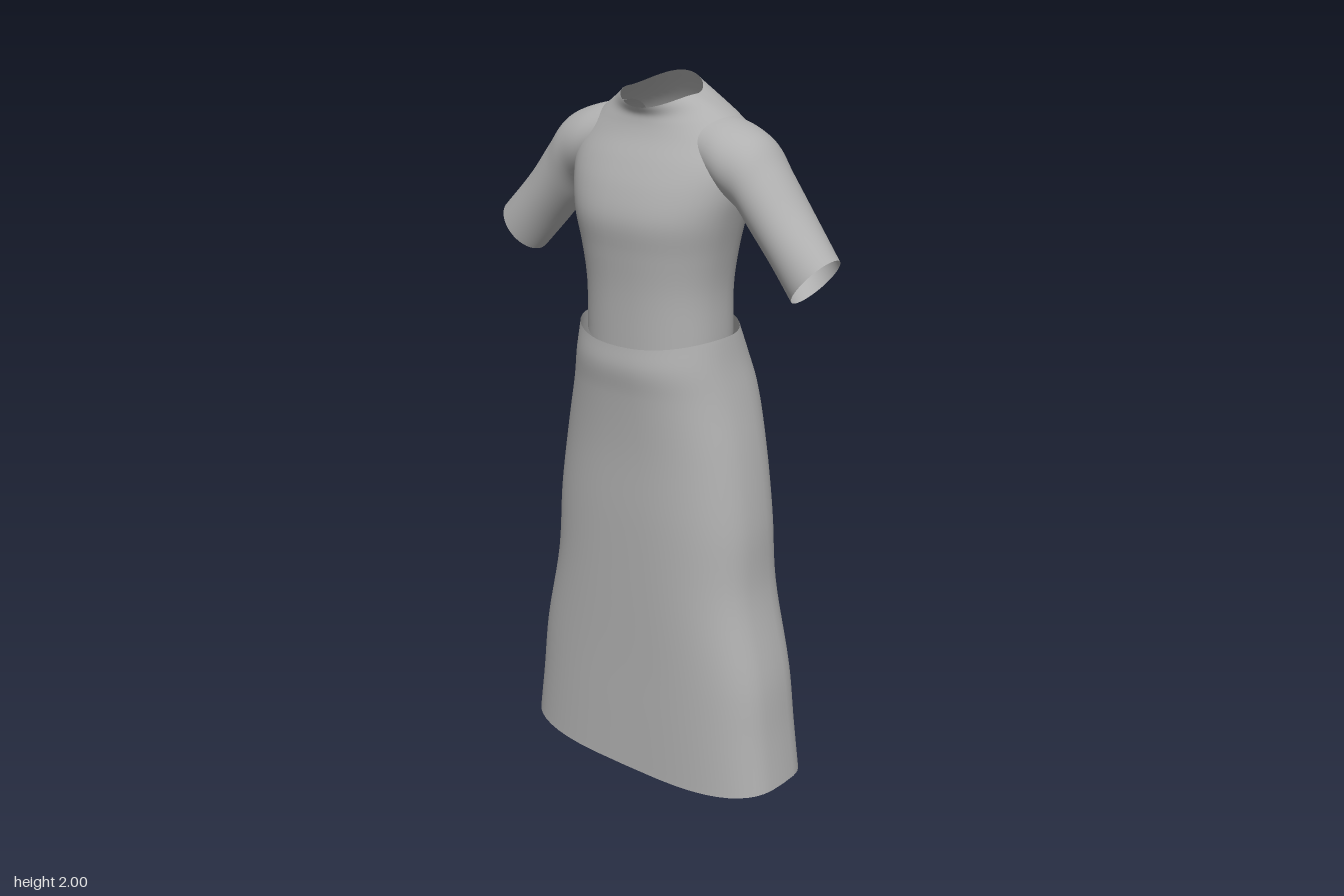
import * as THREE from 'three';

const SIDES = 48;
const cloth = new THREE.MeshStandardMaterial({ color: 0xb0b0b0, side: THREE.DoubleSide });
cloth.name = 'grey cloth';

const power = (v, e) => Math.sign(v) * Math.abs(v) ** e;

// Open tube through rings; each column of points follows a smooth curve
function loft(name, sections, ringPoint, steps) {
  const positions = [], index = [];
  for (let i = 0; i < SIDES; i++) {
    const a = (i / SIDES) * Math.PI * 2;
    const column = new THREE.CatmullRomCurve3(sections.map((s) => ringPoint(s, a)));
    for (let j = 0; j <= steps; j++) positions.push(...column.getPoint(j / steps).toArray());
  }
  const at = (i, j) => (i % SIDES) * (steps + 1) + j;
  for (let i = 0; i < SIDES; i++) {
    for (let j = 0; j < steps; j++) {
      index.push(at(i, j), at(i, j + 1), at(i + 1, j), at(i + 1, j), at(i, j + 1), at(i + 1, j + 1));
    }
  }
  const geometry = new THREE.BufferGeometry();
  geometry.setAttribute('position', new THREE.Float32BufferAttribute(positions, 3));
  geometry.setIndex(index);
  geometry.computeVertexNormals();
  const mesh = new THREE.Mesh(geometry, cloth);
  mesh.name = name;
  return mesh;
}

// Level ring: y, half width, front z, back z, squareness, front lift, back lift
function bodyRing([y, w, front, back, n, liftFront = 0, liftBack = 0], a) {
  const c = Math.cos(a), s = Math.sin(a);
  const z = (front + back) / 2 + ((front - back) / 2) * power(s, 2 / n);
  return new THREE.Vector3(w * power(c, 2 / n), y + s * s * (s > 0 ? liftFront : liftBack), z);
}

// Slanted sleeve ring: top x, y, underside x, y, front z, back z
function sleeveRing([tx, ty, bx, by, front, back], a) {
  const c = Math.cos(a), s = Math.sin(a);
  return new THREE.Vector3(
    (tx + bx) / 2 + ((tx - bx) / 2) * c,
    (ty + by) / 2 + ((ty - by) / 2) * c,
    (front + back) / 2 + ((front - back) / 2) * s
  );
}

export function createModel() {
  const dress = new THREE.Group();
  dress.name = 'dress';

  // Long flared skirt, loose at the sides of the waist
  dress.add(loft('skirt', [
    [0.03, 0.44, 0.18, -0.19, 3.2, -0.025, -0.03],
    [0.18, 0.42, 0.18, -0.19, 3.1],
    [0.35, 0.4, 0.18, -0.19, 3],
    [0.6, 0.346, 0.183, -0.192, 2.8],
    [0.8, 0.333, 0.185, -0.195, 2.6],
    [1.0, 0.303, 0.185, -0.2, 2.5],
    [1.16, 0.268, 0.195, -0.205, 2.4],
    [1.25, 0.248, 0.205, -0.185, 2.3, -0.01, 0.01],
    [1.33, 0.235, 0.198, -0.155, 2.2, -0.03, 0.02]
  ], bodyRing, 48));

  // Fitted bodice up to the tilted neckline
  dress.add(loft('bodice', [
    [1.31, 0.21, 0.18, -0.145, 2.3, -0.02, 0.02],
    [1.45, 0.21, 0.182, -0.145, 2.3],
    [1.55, 0.225, 0.19, -0.152, 2.3],
    [1.64, 0.247, 0.198, -0.162, 2.3],
    [1.72, 0.268, 0.178, -0.17, 2.3],
    [1.79, 0.278, 0.146, -0.175, 2.3],
    [1.85, 0.262, 0.113, -0.168, 2.2],
    [1.895, 0.215, 0.1, -0.153, 2.1, -0.01, 0.01],
    [1.93, 0.165, 0.098, -0.125, 2, -0.025, 0.025],
    [1.96, 0.115, 0.11, -0.088, 2, -0.035, 0.04]
  ], bodyRing, 48));

  // Short sleeves, mirrored
  for (const [name, side] of [['leftSleeve', 1], ['rightSleeve', -1]]) {
    const sleeve = loft(name, [
      [0.15, 1.915, 0.19, 1.73, 0.085, -0.135],
      [0.24, 1.897, 0.24, 1.7, 0.1, -0.135],
      [0.32, 1.862, 0.28, 1.672, 0.095, -0.118],
      [0.375, 1.8, 0.32, 1.62, 0.088, -0.105],
      [0.455, 1.7, 0.385, 1.545, 0.086, -0.095],
      [0.56, 1.588, 0.455, 1.462, 0.088, -0.065]
    ], sleeveRing, 30);
    sleeve.scale.x = side;
    dress.add(sleeve);
  }
  return dress;
}
